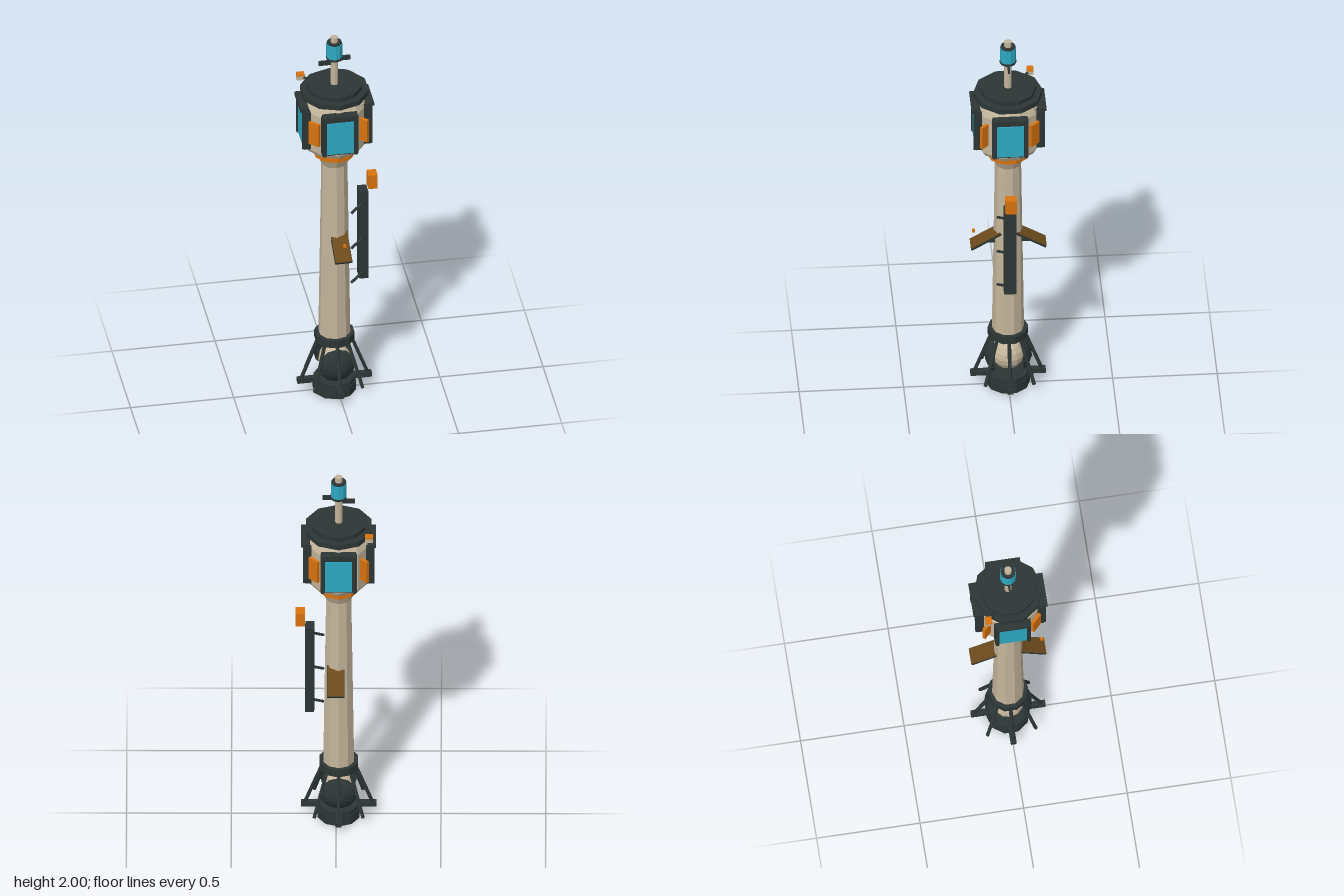
import * as THREE from 'three';

const SIDES = 10;
const mat = (name, color, side = THREE.FrontSide) => {
  const m = new THREE.MeshStandardMaterial({ color, flatShading: true, side });
  m.name = name;
  return m;
};

export function createModel() {
  const dark = mat('dark metal', 0x2c3535, THREE.DoubleSide);
  const cream = mat('cream', 0xc4b59b);
  const orange = mat('orange', 0xd8730f);
  const cyan = mat('cyan glass', 0x2ea9c2);
  const brown = mat('brown panel', 0x6b4a1c);

  const model = new THREE.Group();
  model.name = 'tower';
  const tower = new THREE.Group();
  tower.name = 'towerBody';
  tower.position.x = -0.012;
  model.add(tower);

  const add = (name, geo, material, x = 0, y = 0, z = 0, parent = tower) => {
    const m = new THREE.Mesh(geo, material);
    m.name = name;
    m.position.set(x, y, z);
    parent.add(m);
    return m;
  };
  const drum = (name, material, y0, y1, r0, r1 = r0, sides = SIDES) =>
    add(name, new THREE.CylinderGeometry(r1, r0, y1 - y0, sides), material, 0, (y0 + y1) / 2);
  const box = (name, material, w, h, d, x, y, z, parent) =>
    add(name, new THREE.BoxGeometry(w, h, d), material, x, y, z, parent);
  // Straight rod between two points
  const rod = (name, material, a, b, r) => {
    const p = new THREE.Vector3(...a), q = new THREE.Vector3(...b);
    const dir = q.clone().sub(p);
    const m = add(name, new THREE.CylinderGeometry(r, r, dir.length(), 6), material);
    m.position.copy(p).add(q).multiplyScalar(0.5);
    m.quaternion.setFromUnitVectors(new THREE.Vector3(0, 1, 0), dir.normalize());
  };

  // Base: drum, cross bars, struts and collar
  drum('baseDrum', dark, 0, 0.05, 0.105);
  box('footBarX', dark, 0.36, 0.025, 0.028, 0, 0.0625, 0);
  box('footBarZ', dark, 0.028, 0.025, 0.36, 0, 0.0625, 0);
  drum('basePlate', dark, 0.05, 0.075, 0.1);
  drum('collar', dark, 0.285, 0.325, 0.097);
  for (let i = 0; i < 8; i++) {
    const s = Math.sin(i * Math.PI / 4), c = Math.cos(i * Math.PI / 4);
    rod('strut', dark, [s * 0.165, 0.06, c * 0.165], [s * 0.075, 0.3, c * 0.075], 0.009);
  }

  // Core globe with a curved shield on the front and back
  add('coreGlobe', new THREE.SphereGeometry(0.078, 12, 8), cream, 0, 0.17, 0);
  for (const s of [1, -1]) {
    const shield = add('coreShield',
      new THREE.SphereGeometry(0.113, 12, 4, 0, Math.PI * 2, 0, 0.92), dark, 0, 0.17, 0);
    shield.rotation.x = s * Math.PI / 2;
  }

  // Column with flared top
  drum('column', cream, 0.325, 1.29, 0.077, 0.063);
  drum('columnFlare', cream, 1.29, 1.347, 0.063, 0.09);
  drum('orangeRing', orange, 1.345, 1.387, 0.102);

  // Cabin and roof
  const profile = [[0.1, 1.385], [0.142, 1.395], [0.157, 1.42], [0.157, 1.63], [0.125, 1.69]];
  add('cabin', new THREE.LatheGeometry(profile.map(p => new THREE.Vector2(...p)), SIDES), cream);
  drum('roofEdge', dark, 1.685, 1.712, 0.165);
  drum('roofTop', dark, 1.712, 1.735, 0.134);

  // Framed windows with visors on four sides
  for (let i = 0; i < 4; i++) {
    const w = new THREE.Group();
    w.name = 'window';
    w.rotation.y = i * Math.PI / 2;
    tower.add(w);
    box('windowFrame', dark, 0.174, 0.21, 0.03, 0, 1.535, 0.145, w);
    box('windowGlass', cyan, 0.13, 0.175, 0.006, 0, 1.525, 0.162, w);
    for (const s of [1, -1]) {
      box('frameSide', dark, 0.016, 0.21, 0.012, s * 0.076, 1.535, 0.164, w);
    }
    box('windowVisor', dark, 0.168, 0.014, 0.042, 0, 1.648, 0.158, w);
  }

  // Orange panels at the cabin corners, all turned the same way
  for (const sx of [1, -1]) for (const sz of [1, -1]) {
    box('cornerPanel', orange, 0.058, 0.122, 0.016, sx * 0.118, 1.535, sz * 0.118)
      .rotation.y = -Math.PI / 4;
  }

  // Roof camera on an arm
  rod('cameraArm', dark, [-0.1, 1.71, -0.08], [-0.14, 1.72, -0.112], 0.007);
  box('cameraBody', cream, 0.038, 0.022, 0.032, -0.144, 1.715, -0.116);
  box('cameraCap', orange, 0.038, 0.008, 0.032, -0.144, 1.73, -0.116);

  // Mast, beacon and antenna blades
  drum('mast', cream, 1.735, 2, 0.018);
  drum('beaconBase', dark, 1.878, 1.89, 0.04);
  drum('beaconLamp', cyan, 1.89, 1.965, 0.039);
  drum('beaconCap', dark, 1.965, 1.973, 0.036);
  box('antennaLeft', dark, 0.06, 0.024, 0.009, 0.047, 1.876, 0);
  box('antennaRight', dark, 0.06, 0.024, 0.009, -0.047, 1.856, 0);

  // Side mast board with brackets and an orange box
  box('sideBoard', dark, 0.043, 0.495, 0.06, 0.138, 0.873, 0);
  box('sideBox', orange, 0.045, 0.076, 0.054, 0.183, 1.167, 0);
  for (const y of [0.625, 0.82, 1.02]) {
    rod('boardBracket', dark, [0.072, y, 0.055], [0.138, y + 0.038, 0.025], 0.007);
  }

  // Sloped panels at front and back
  for (const s of [1, -1]) {
    const g = new THREE.Group();
    g.name = 'slopedPanel';
    g.position.set(0.014, 0.863, s * 0.107);
    g.rotation.x = s * 0.53;
    tower.add(g);
    box('panelBack', dark, 0.084, 0.01, 0.166, 0, 0, 0, g);
    box('panelFace', brown, 0.08, 0.005, 0.162, 0, 0.007, 0, g);
    box('panelSupport', dark, 0.014, 0.014, 0.07, 0.014, 0.843, s * 0.07);
  }
  box('sensor', orange, 0.014, 0.014, 0.014, 0.02, 0.91, 0.166);

  return model;
}
